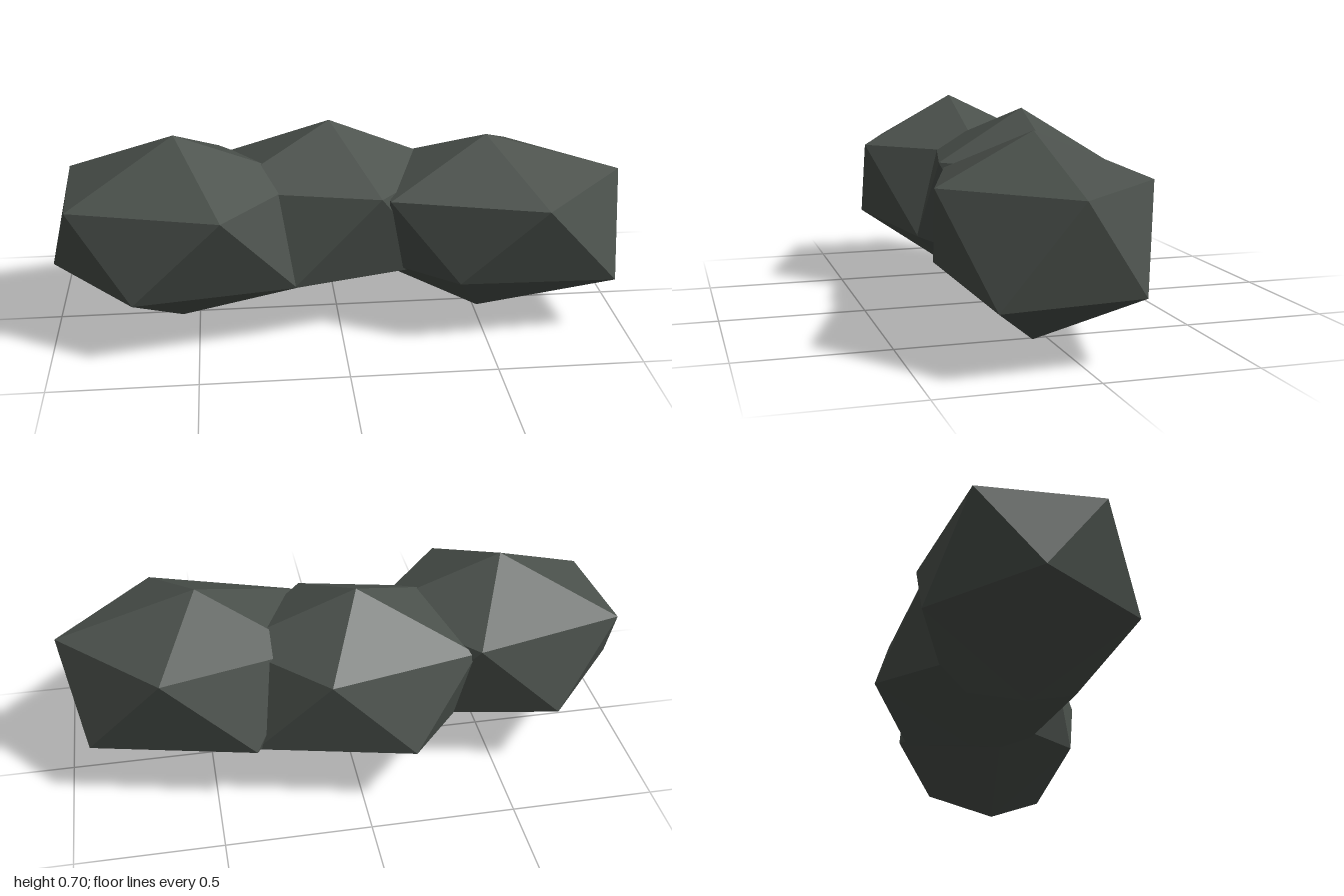
import * as THREE from 'three';

// Faceted boulder: two poles joined by an upper and a lower ring of five corners.
// Rings run from +x towards +z; each lower corner sits between two upper ones.
function boulder(name, material, top, bottom, upper, lower) {
  const tris = [];
  for (let i = 0; i < 5; i++) {
    const j = (i + 1) % 5;
    tris.push(top, upper[j], upper[i]);
    tris.push(upper[i], upper[j], lower[i]);
    tris.push(lower[i], upper[j], lower[j]);
    tris.push(bottom, lower[i], lower[j]);
  }
  const geometry = new THREE.BufferGeometry();
  geometry.setAttribute('position', new THREE.Float32BufferAttribute(tris.flat(), 3));
  geometry.computeVertexNormals();
  const mesh = new THREE.Mesh(geometry, material);
  mesh.name = name;
  return mesh;
}

export function createModel() {
  const group = new THREE.Group();
  group.name = 'rockCluster';
  const stone = new THREE.MeshStandardMaterial({ color: 0x4a504b, flatShading: true });
  stone.name = 'dark stone';

  // Boulder at the -x end
  group.add(boulder('rightBoulder', stone, [-0.56, 0.705, 0.05], [-0.56, 0.015, 0.05],
    [[-0.1, 0.53, 0.05], [-0.41, 0.535, 0.415], [-0.92, 0.52, 0.25], [-0.94, 0.525, -0.155], [-0.41, 0.53, -0.295]],
    [[-0.16, 0.22, 0.27], [-0.71, 0.235, 0.38], [-1, 0.24, 0.05], [-0.71, 0.235, -0.285], [-0.16, 0.22, -0.17]]));

  // Middle boulder, set further back
  group.add(boulder('middleBoulder', stone, [-0.02, 0.695, -0.08], [-0.02, 0.08, -0.08],
    [[0.42, 0.52, -0.08], [0.13, 0.53, 0.26], [-0.41, 0.53, 0.14], [-0.4, 0.51, -0.27], [0.11, 0.503, -0.372]],
    [[0.35, 0.22, 0.14], [-0.17, 0.22, 0.272], [-0.46, 0.22, -0.08], [-0.17, 0.228, -0.416], [0.36, 0.22, -0.285]]));

  // Boulder at the +x end
  group.add(boulder('leftBoulder', stone, [0.515, 0.672, 0.05], [0.515, 0, 0.05],
    [[1, 0.525, 0.05], [0.665, 0.527, 0.405], [0.16, 0.517, 0.25], [0.16, 0.52, -0.16], [0.665, 0.525, -0.295]],
    [[0.945, 0.208, 0.29], [0.39, 0.245, 0.345], [0.09, 0.22, 0.05], [0.36, 0.228, -0.315], [0.92, 0.215, -0.17]]));

  return group;
}
